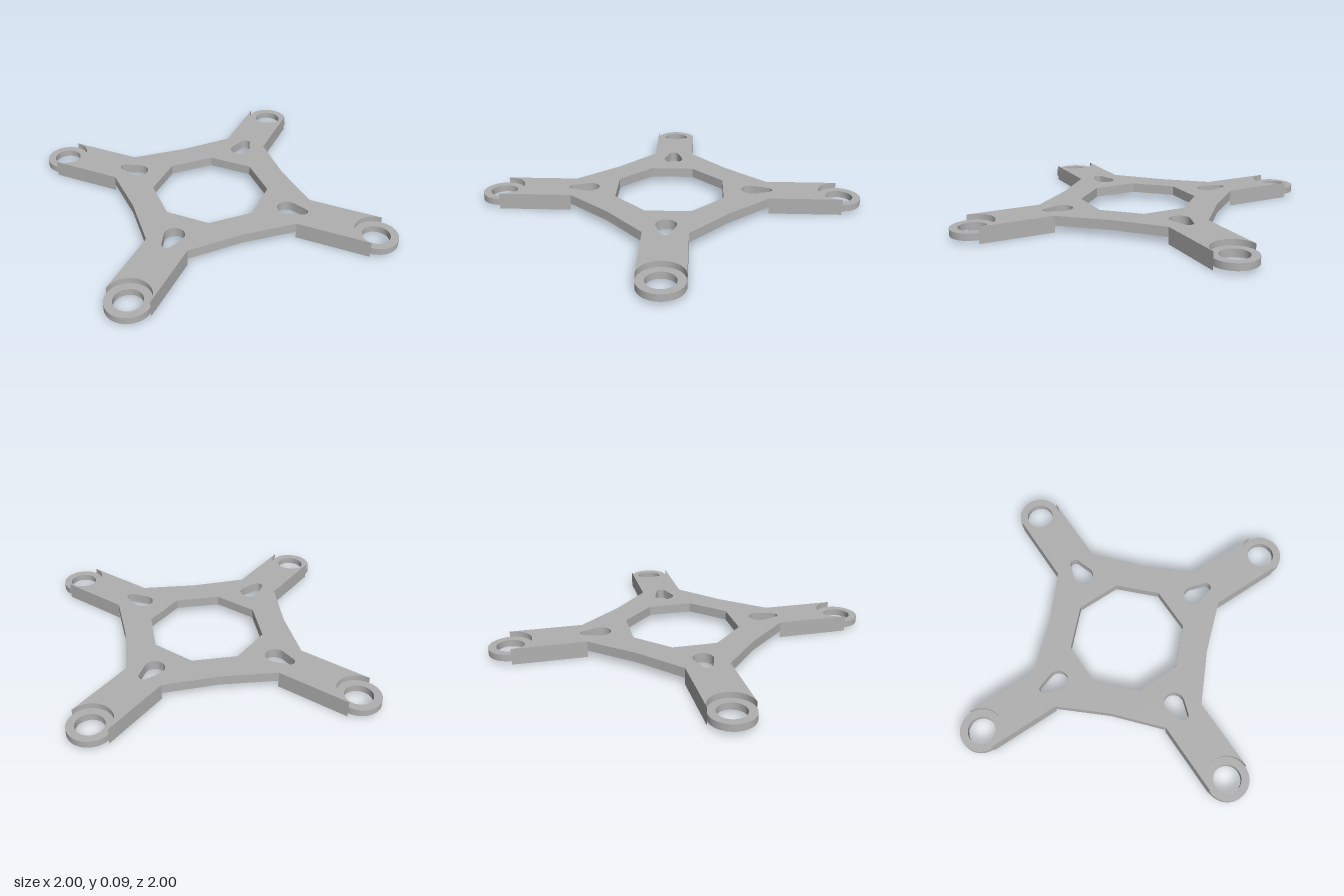
import * as THREE from 'three';
import { toCreasedNormals } from 'three/addons/utils/BufferGeometryUtils.js';

const HALF = 0.11;    // half width of an arm, also the mount ring radius
const TIP = 0.89;     // mount ring centre
const ROOT = 0.515;   // where an arm leaves the frame

// points along a circular arc on the x axis
function arc(cx, r, from, to, steps = 24) {
  return Array.from({ length: steps + 1 }, (_, i) => {
    const a = from + (to - from) * i / steps;
    return new THREE.Vector2(cx + r * Math.cos(a), r * Math.sin(a));
  });
}

const turn = (points, k) =>
  points.map(p => p.clone().rotateAround(new THREE.Vector2(), k * Math.PI / 2));

// upright slab from a flat outline
function slab(shape, y0, y1) {
  const g = new THREE.ExtrudeGeometry(shape, { depth: y1 - y0, bevelEnabled: false, curveSegments: 24 });
  g.rotateX(-Math.PI / 2);
  g.translate(0, y0, 0);
  return toCreasedNormals(g, 0.5);
}

export function createModel() {
  const model = new THREE.Group();
  model.name = 'crossFrame';
  const grey = new THREE.MeshStandardMaterial({ color: 0xb0b0b0 });
  grey.name = 'grey';
  const add = (parent, name, geometry) => {
    const mesh = new THREE.Mesh(geometry, grey);
    mesh.name = name;
    parent.add(mesh);
  };

  // one quarter of the plate: arm with scooped tip, then the waisted side
  const quarter = [
    new THREE.Vector2(ROOT, -HALF),
    ...arc(TIP, HALF, -Math.PI / 2, -Math.PI * 1.5),
    new THREE.Vector2(ROOT, HALF),
    new THREE.Vector2(0.3, 0.3),
  ];
  const opening = [new THREE.Vector2(0.28, -0.115), new THREE.Vector2(0.28, 0.115)];
  // teardrop slot, wide end inwards
  const t = Math.acos((0.052 - 0.026) / 0.082);
  const slot = [
    ...arc(0.43, 0.052, t, 2 * Math.PI - t),
    ...arc(0.512, 0.026, -t, t, 12),
  ];

  const quarters = [0, 1, 2, 3];
  const plate = new THREE.Shape(quarters.flatMap(k => turn(quarter, k)));
  plate.holes.push(new THREE.Path(quarters.flatMap(k => turn(opening, k))));
  quarters.forEach(k => plate.holes.push(new THREE.Path(turn(slot, k))));
  add(model, 'topPlate', slab(plate, 0.035, 0.085));

  // lower half of an arm, scooped at both ends
  const lower = slab(new THREE.Shape([
    ...arc(TIP, HALF, -Math.PI / 2, -Math.PI * 1.5),
    ...arc(ROOT, HALF, Math.PI / 2, -Math.PI / 2),
  ]), 0, 0.035);

  // mount ring at the arm tip
  const ringShape = new THREE.Shape().absarc(TIP, 0, HALF, 0, Math.PI * 2);
  ringShape.holes.push(new THREE.Path().absarc(TIP, 0, 0.07, 0, Math.PI * 2));
  const ring = slab(ringShape, 0.02, 0.055);

  quarters.forEach(k => {
    const arm = new THREE.Group();
    arm.name = 'arm' + (k + 1);
    add(arm, 'armUnderside', lower);
    add(arm, 'mountRing', ring);
    arm.rotation.y = k * Math.PI / 2;
    model.add(arm);
  });

  // the whole cross sits slightly turned
  model.rotation.y = -0.034;
  return model;
}
